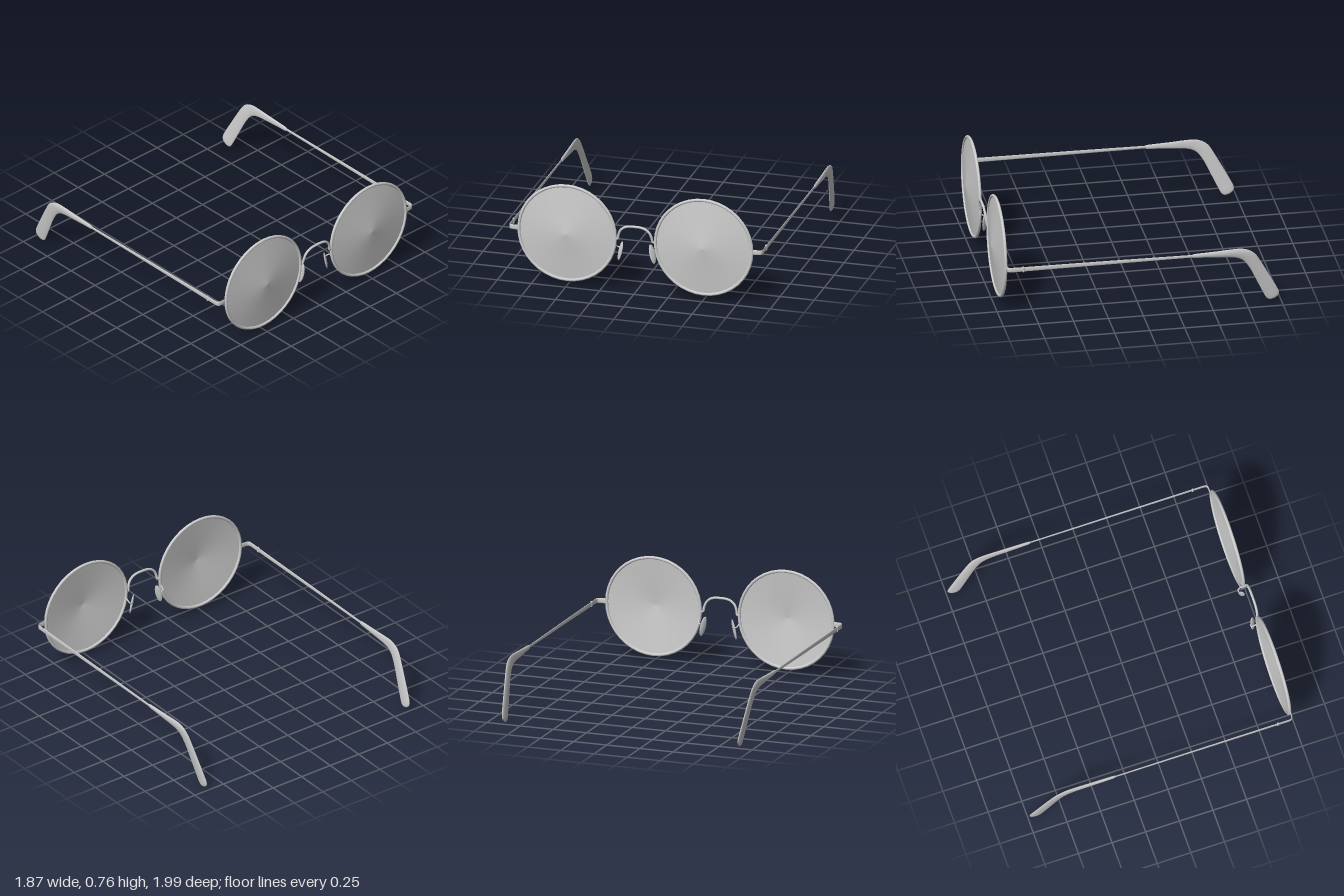
import * as THREE from 'three';

const V = (p) => new THREE.Vector3(p[0], p[1], p[2]);
const grey = new THREE.MeshStandardMaterial({ color: 0xcccccc });
const thin = new THREE.MeshStandardMaterial({ color: 0xcccccc, side: THREE.DoubleSide });

function add(parent, name, geometry, material = grey) {
  const mesh = new THREE.Mesh(geometry, material);
  mesh.name = name;
  parent.add(mesh);
  return mesh;
}

// Round wire through points
function wire(points, radius, steps = 32) {
  return new THREE.TubeGeometry(new THREE.CatmullRomCurve3(points.map(V)), steps, radius, 10);
}

// Elliptical sweep; each station is [x, y, z, halfHeight, halfWidth]
function sweep(stations, steps, sides = 16) {
  const path = new THREE.CatmullRomCurve3(stations.map(V), false, 'catmullrom', 0.5);
  const size = new THREE.CatmullRomCurve3(
    stations.map((s) => new THREE.Vector3(s[3], s[4], 0)), false, 'catmullrom', 0.5);
  const pos = [], index = [];
  const yAxis = new THREE.Vector3(0, 1, 0);
  for (let i = 0; i <= steps; i++) {
    const u = i / steps;
    const c = path.getPoint(u), t = path.getTangent(u), r = size.getPoint(u);
    const side = t.clone().cross(yAxis).normalize();
    const up = side.clone().cross(t).normalize();
    for (let j = 0; j < sides; j++) {
      const a = (j / sides) * Math.PI * 2;
      const p = c.clone()
        .addScaledVector(up, Math.sin(a) * Math.max(r.x, 0))
        .addScaledVector(side, Math.cos(a) * Math.max(r.y, 0));
      pos.push(p.x, p.y, p.z);
      if (i < steps) {
        const k = i * sides + j, n = i * sides + ((j + 1) % sides);
        index.push(k, k + sides, n, n, k + sides, n + sides);
      }
    }
  }
  const g = new THREE.BufferGeometry();
  g.setAttribute('position', new THREE.Float32BufferAttribute(pos, 3));
  g.setIndex(index);
  g.computeVertexNormals();
  return g;
}

function buildSide(name) {
  const side = new THREE.Group();
  side.name = name;

  // Round rim and shallow conical lens
  add(side, 'rim', new THREE.TorusGeometry(0.354, 0.011, 12, 40)).position.set(0.5, 0.397, 0.957);
  const lensProfile = [[0.35, 0], [0.26, 0.01], [0.13, 0.026], [0, 0.043]]
    .map(([r, y]) => new THREE.Vector2(r, y));
  const lens = add(side, 'lens', new THREE.LatheGeometry(lensProfile, 40), thin);
  lens.rotation.x = Math.PI / 2;
  lens.position.set(0.5, 0.397, 0.957);

  // Flat temple bar curving back from the rim
  add(side, 'temple', sweep([
    [0.862, 0.399, 0.956, 0, 0],
    [0.863, 0.399, 0.956, 0.018, 0.004],
    [0.89, 0.399, 0.956, 0.018, 0.004],
    [0.912, 0.399, 0.953, 0.018, 0.004],
    [0.923, 0.399, 0.943, 0.018, 0.004],
    [0.926, 0.399, 0.92, 0.018, 0.004],
    [0.926, 0.399, 0.8, 0.017, 0.004],
    [0.926, 0.4, 0.2, 0.014, 0.004],
    [0.926, 0.4, -0.4, 0.01, 0.004],
  ], 64));

  // Hinge barrel
  add(side, 'hinge', new THREE.CapsuleGeometry(0.008, 0.03, 4, 10)).position.set(0.926, 0.399, 0.845);

  // Ear tip, bent down and leaning inward
  const tip = sweep([
    [0.926, 0.4, -0.364, 0, 0],
    [0.926, 0.4, -0.37, 0.014, 0.008],
    [0.926, 0.4, -0.45, 0.019, 0.01],
    [0.926, 0.399, -0.55, 0.025, 0.01],
    [0.926, 0.398, -0.65, 0.032, 0.01],
    [0.926, 0.388, -0.72, 0.041, 0.01],
    [0.926, 0.355, -0.774, 0.047, 0.01],
    [0.926, 0.285, -0.82, 0.046, 0.01],
    [0.926, 0.19, -0.869, 0.049, 0.01],
    [0.926, 0.085, -0.922, 0.052, 0.01],
    [0.926, 0.04, -0.944, 0.05, 0.01],
    [0.926, 0.018, -0.955, 0.035, 0.008],
    [0.926, 0.008, -0.96, 0, 0],
  ], 72);
  const p = tip.attributes.position;
  for (let i = 0; i < p.count; i++) {
    p.setX(i, p.getX(i) - 0.107 * Math.max(0, 0.4 - p.getY(i)));
  }
  tip.computeVertexNormals();
  add(side, 'earTip', tip);

  // Nose pad and the wire that holds it
  const padShape = new THREE.SphereGeometry(1, 20, 14);
  padShape.scale(0.009, 0.074, 0.024);
  const pad = add(side, 'nosePad', padShape);
  pad.rotation.set(0, -0.7, 0.22, 'ZYX');
  pad.position.set(0.117, 0.294, 0.932);
  add(side, 'padArm', wire([
    [0.15, 0.345, 0.955], [0.15, 0.33, 0.93], [0.144, 0.318, 0.914],
    [0.132, 0.314, 0.914], [0.118, 0.313, 0.93],
  ], 0.005, 20));
  return side;
}

export function createModel() {
  const model = new THREE.Group();
  model.name = 'roundGlasses';

  model.add(buildSide('leftSide'));
  const right = buildSide('rightSide');
  right.scale.x = -1;
  model.add(right);

  // Arched bridge between the rims
  const half = [[0.148, 0.392, 0.957], [0.128, 0.396, 0.96], [0.122, 0.425, 0.965],
    [0.107, 0.462, 0.969], [0.08, 0.487, 0.971], [0.045, 0.499, 0.972]];
  const mirrored = half.map(([x, y, z]) => [-x, y, z]).reverse();
  add(model, 'bridge', wire([...half, [0, 0.501, 0.972], ...mirrored], 0.009, 64));

  return model;
}
